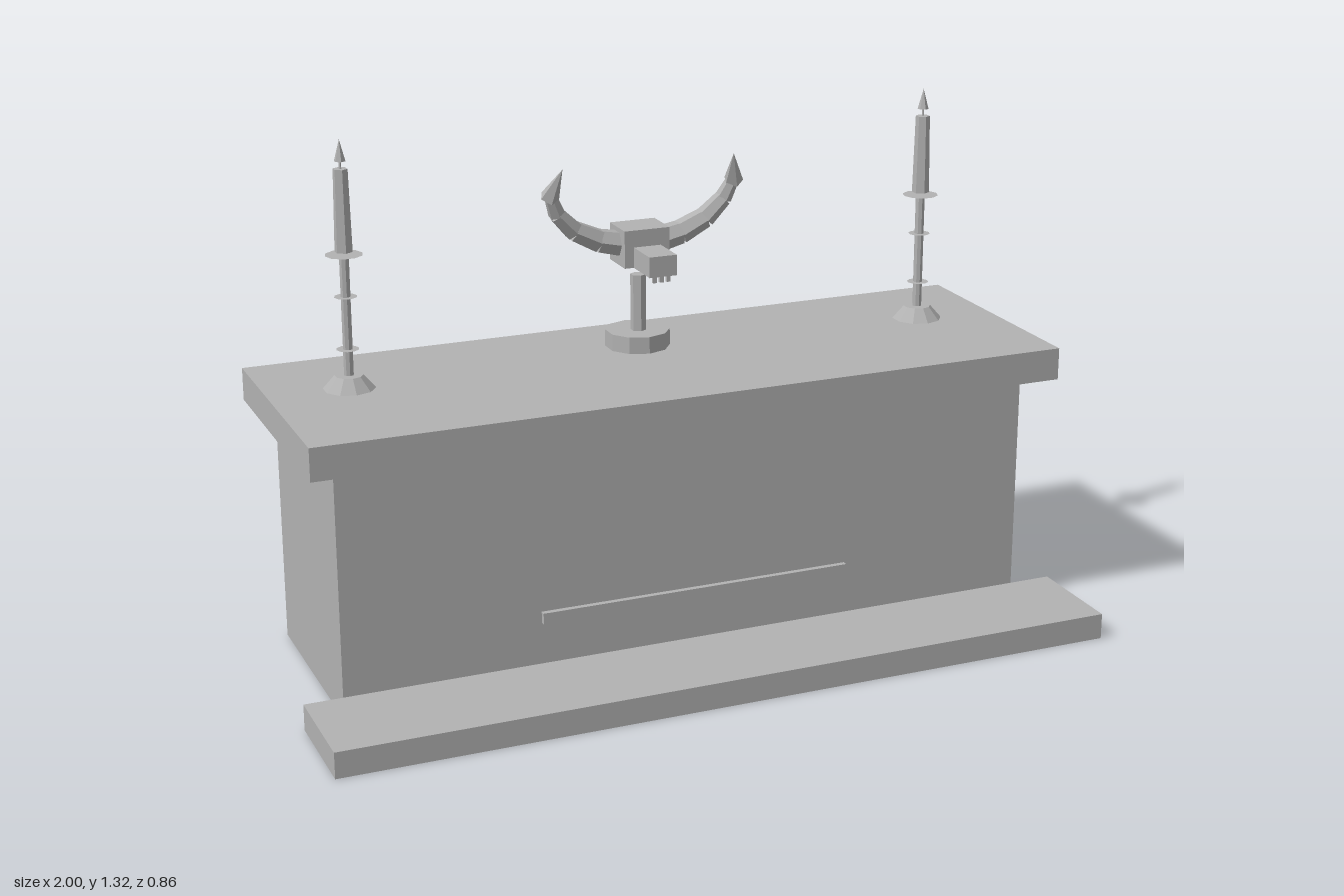
import * as THREE from 'three';

const stone = new THREE.MeshStandardMaterial({ color: 0xb2b2b2, flatShading: true, side: THREE.DoubleSide });
stone.name = 'stone grey';

function add(parent, name, geometry, x = 0, y = 0, z = 0) {
  const mesh = new THREE.Mesh(geometry, stone);
  mesh.name = name;
  mesh.position.set(x, y, z);
  parent.add(mesh);
  return mesh;
}

// box given by its limits on each axis
function block(parent, name, x0, x1, y0, y1, z0, z1) {
  return add(parent, name, new THREE.BoxGeometry(x1 - x0, y1 - y0, z1 - z0),
    (x0 + x1) / 2, (y0 + y1) / 2, (z0 + z1) / 2);
}

// upright tapered post between two heights
function post(parent, name, rTop, rBottom, y0, y1, sides, z = 0) {
  return add(parent, name, new THREE.CylinderGeometry(rTop, rBottom, y1 - y0, sides), 0, (y0 + y1) / 2, z);
}

// tapered limb from a to b
function limb(parent, name, a, b, ra, rb, sides) {
  const dir = b.clone().sub(a);
  const mesh = add(parent, name, new THREE.CylinderGeometry(rb, ra, dir.length(), sides));
  mesh.position.copy(a).add(b).multiplyScalar(0.5);
  mesh.quaternion.setFromUnitVectors(new THREE.Vector3(0, 1, 0), dir.normalize());
  return mesh;
}

function flatDisc(parent, name, radius, y) {
  const disc = add(parent, name, new THREE.CircleGeometry(radius, 10), 0, y, 0);
  disc.rotation.x = -Math.PI / 2;
}

function createCandlestick(x) {
  const g = new THREE.Group();
  g.name = 'candlestick';
  g.position.set(x, 0, -0.172);
  post(g, 'candlestickFoot', 0.035, 0.064, 0.712, 0.745, 10);
  post(g, 'candlestickStem', 0.012, 0.012, 0.745, 1.035, 8);
  flatDisc(g, 'lowerCollar', 0.028, 0.81);
  flatDisc(g, 'upperCollar', 0.028, 0.94);
  flatDisc(g, 'dripPan', 0.046, 1.043);
  post(g, 'candle', 0.018, 0.022, 1.05, 1.25, 6);
  post(g, 'wick', 0.003, 0.003, 1.25, 1.275, 4);
  post(g, 'flame', 0, 0.014, 1.268, 1.32, 6);
  return g;
}

function createHorn(side) {
  const g = new THREE.Group();
  g.name = side > 0 ? 'leftHorn' : 'rightHorn';
  const path = [
    [0.04, 0.985, -0.212], [0.11, 1.0, -0.212], [0.175, 1.032, -0.208],
    [0.222, 1.08, -0.2], [0.243, 1.13, -0.187],
  ].map(([x, y, z]) => new THREE.Vector3(x * side, y, z));
  const radii = [0.034, 0.031, 0.027, 0.022, 0.016];
  for (let i = 0; i < path.length - 1; i++) {
    limb(g, 'hornSegment', path[i], path[i + 1], radii[i], radii[i + 1], 6);
  }
  // barbed tip
  limb(g, 'hornTip', new THREE.Vector3(0.245 * side, 1.125, -0.19),
    new THREE.Vector3(0.226 * side, 1.205, -0.145), 0.025, 0, 5);
  return g;
}

export function createModel() {
  const model = new THREE.Group();
  model.name = 'altar';

  // altar body, top and step
  block(model, 'altarBody', -0.9, 0.9, 0, 0.63, -0.39, 0.145);
  block(model, 'altarTop', -0.97, 0.97, 0.63, 0.712, -0.425, 0.212);
  block(model, 'frontStep', -1, 1, 0, 0.066, 0.162, 0.43);

  // hanging cloth with a hem bar
  add(model, 'frontCloth', new THREE.PlaneGeometry(0.8, 0.43), 0, 0.415, 0.152);
  block(model, 'clothHem', -0.405, 0.405, 0.17, 0.198, 0.154, 0.168);

  // open pages lying on the top
  const pages = [[0.27, 0.17, 0.715], [0.25, 0.155, 0.721]];
  for (const [w, d, y] of pages) {
    add(model, 'page', new THREE.PlaneGeometry(w, d), -0.335, y, -0.042).rotation.x = -Math.PI / 2;
  }

  for (const side of [-1, 1]) model.add(createCandlestick(0.768 * side));

  // horned idol on a stand
  const idol = new THREE.Group();
  idol.name = 'hornedIdol';
  post(idol, 'idolBase', 0.082, 0.082, 0.712, 0.755, 10, -0.228);
  post(idol, 'idolPost', 0.02, 0.02, 0.755, 0.9, 6, -0.222);
  block(idol, 'skull', -0.06, 0.06, 0.935, 1.03, -0.26, -0.16);
  block(idol, 'snout', -0.036, 0.036, 0.935, 0.987, -0.17, -0.057);
  for (const x of [-0.018, 0, 0.018]) {
    block(idol, 'tooth', x - 0.005, x + 0.005, 0.918, 0.935, -0.075, -0.066);
  }
  idol.add(createHorn(1), createHorn(-1));
  model.add(idol);

  return model;
}
